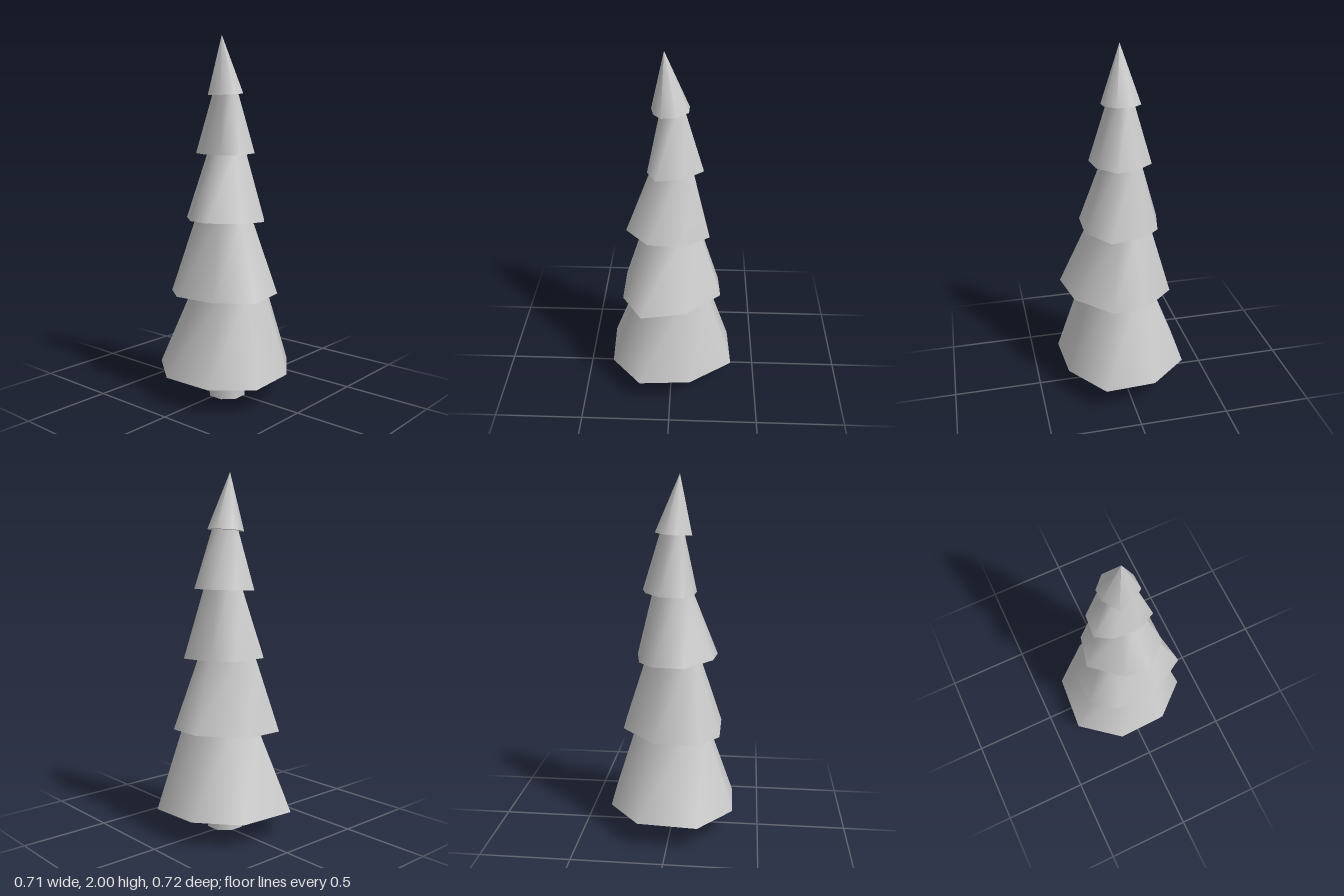
import * as THREE from 'three';

const SIDES = 8;
const material = new THREE.MeshStandardMaterial({ color: 0xcccccc });

// Each tier: eight rim corners (x, z), rim height with a slight tilt, and
// the narrow upper ring as a scale of the rim about its own centre.
const TIERS = [
  { rim: [[-0.17, -0.36], [0.16, -0.335], [0.34, -0.12], [0.355, 0.165], [0.115, 0.34], [-0.175, 0.36], [-0.345, 0.165], [-0.355, -0.13]],
    y: 0.143, tilt: [0, 0], scale: 0.57, top: [0, 0.03] },
  { rim: [[-0.17, -0.265], [0.075, -0.27], [0.27, -0.07], [0.28, 0.105], [0.09, 0.29], [-0.16, 0.335], [-0.275, 0.14], [-0.275, -0.125]],
    y: 0.594, tilt: [0.015, 0.03], scale: 0.54, top: [-0.01, 0] },
  { rim: [[-0.085, -0.225], [0.09, -0.185], [0.175, -0.085], [0.21, 0.1], [0.06, 0.217], [-0.125, 0.217], [-0.25, 0.075], [-0.23, -0.06]],
    y: 0.998, tilt: [-0.045, 0.01], scale: 0.49, top: [0, 0] },
  { rim: [[-0.07, -0.165], [0.055, -0.155], [0.14, -0.055], [0.17, 0.055], [0.06, 0.15], [-0.08, 0.165], [-0.13, 0.065], [-0.12, -0.075]],
    y: 1.367, tilt: [0.03, 0], scale: 0.44, top: [-0.005, 0] },
  { rim: [[-0.03, -0.097], [0.03, -0.1], [0.09, -0.04], [0.087, 0.042], [0.025, 0.097], [-0.053, 0.1], [-0.095, 0.04], [-0.11, -0.04]],
    y: 1.688, tilt: [0.07, 0], scale: 0, top: [-0.04, 0] },
];

// Places 2D corners on a tier's slightly tilted rim plane
const onPlane = (corners, { y, tilt }) =>
  corners.map(([x, z]) => [x, y + tilt[0] * x + tilt[1] * z, z]);

// Scales a rim about its centre and moves it to a new centre
function shrink(rim, scale, [cx, cz]) {
  const mx = rim.reduce((s, p) => s + p[0], 0) / SIDES;
  const mz = rim.reduce((s, p) => s + p[1], 0) / SIDES;
  return rim.map(([x, z]) => [cx + (x - mx) * scale, cz + (z - mz) * scale]);
}

// Band between two rings; faces outward, or downward when flipped
function band(outer, inner, pointed, flipped) {
  const index = [];
  const tri = (a, b, c) => index.push(...(flipped ? [a, c, b] : [a, b, c]));
  for (let i = 0; i < SIDES; i++) {
    const j = (i + 1) % SIDES;
    tri(i, i + SIDES, j);
    if (!pointed) tri(j, i + SIDES, j + SIDES);
  }
  const geometry = new THREE.BufferGeometry();
  geometry.setAttribute('position', new THREE.Float32BufferAttribute([...outer, ...inner].flat(), 3));
  geometry.setIndex(index);
  geometry.computeVertexNormals();
  return geometry;
}

function addMesh(parent, geometry, name) {
  const mesh = new THREE.Mesh(geometry, material);
  mesh.name = name;
  parent.add(mesh);
  return mesh;
}

export function createModel() {
  const tree = new THREE.Group();
  tree.name = 'coniferTree';

  // Eight-sided trunk with flats facing the axes
  const trunk = addMesh(tree, new THREE.CylinderGeometry(0.106, 0.106, 0.16, SIDES), 'trunk');
  trunk.position.set(-0.027, 0.08, 0.025);
  trunk.rotation.y = Math.PI / SIDES;

  // Overlapping branch tiers; each one starts where the tier below ends
  let below = null;
  TIERS.forEach((tier, i) => {
    const group = new THREE.Group();
    group.name = `branchTier${i + 1}`;
    const tip = i === TIERS.length - 1;
    const rim = onPlane(tier.rim, tier);
    const upper = shrink(tier.rim, tier.scale, tier.top);
    const top = tip ? upper.map(([x, z]) => [x, 2, z]) : onPlane(upper, TIERS[i + 1]);
    const hole = below || onPlane(shrink(tier.rim, 0, [0, 0]), tier);

    addMesh(group, band(rim, top, tip, false), 'foliage');
    addMesh(group, band(rim, hole, !below, true), 'underside');
    tree.add(group);
    below = top;
  });

  return tree;
}
